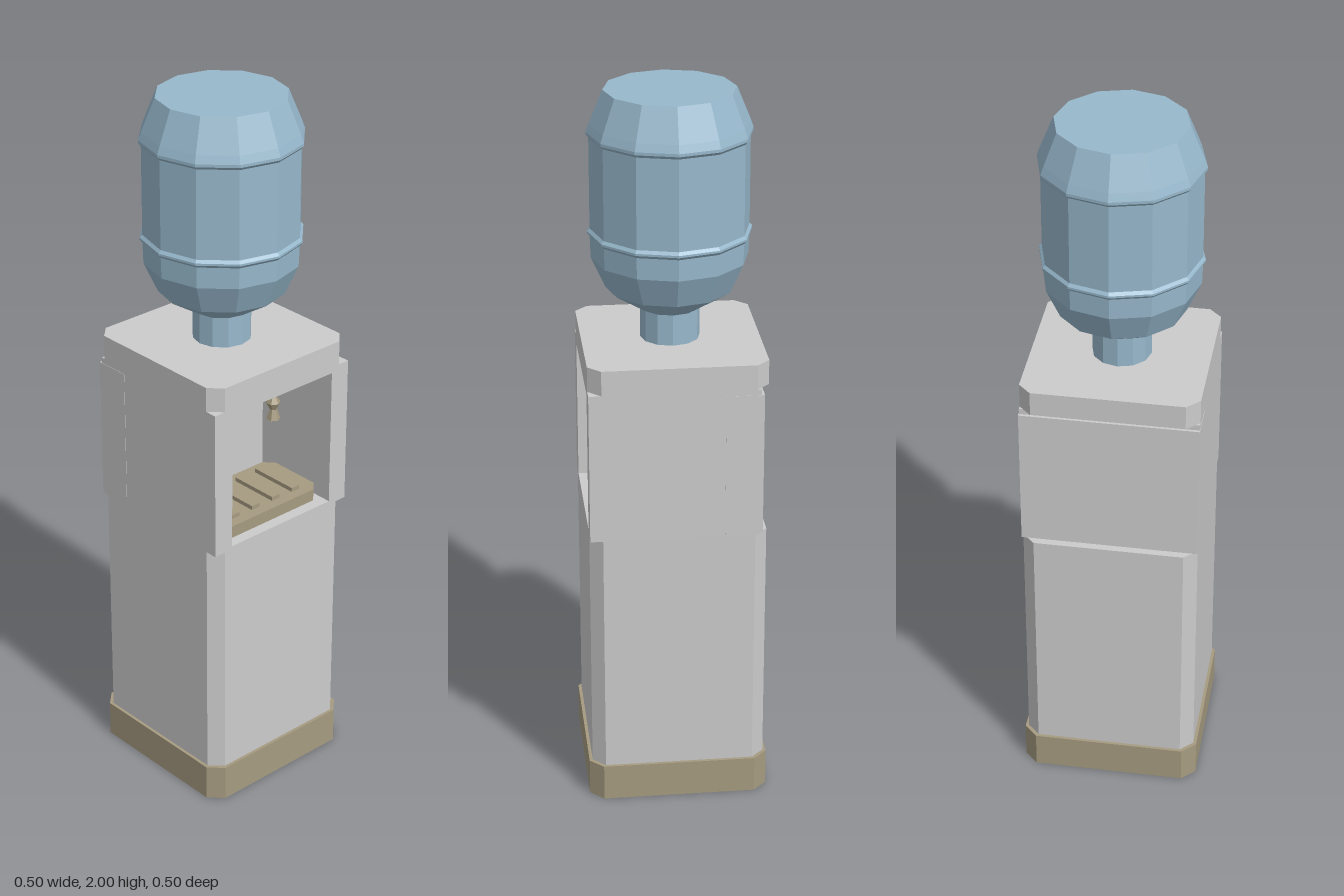
import * as THREE from 'three';

const mat = (color) => new THREE.MeshStandardMaterial({ color, flatShading: true });

// rectangle with chamfered corners, half sizes w and d
function chamferedRect(w, d, c) {
  return new THREE.Shape([
    [w, -d + c], [w, d - c], [w - c, d], [-w + c, d],
    [-w, d - c], [-w, -d + c], [-w + c, -d], [w - c, -d],
  ].map(([x, y]) => new THREE.Vector2(x, y)));
}

export function createModel() {
  const group = new THREE.Group();
  const grey = mat(0xcccccc);
  const tan = mat(0xa69b80);
  const blue = mat(0x97b8cc);
  const dark = mat(0x26262a);

  const add = (name, geometry, material, x = 0, y = 0, z = 0) => {
    const mesh = new THREE.Mesh(geometry, material);
    mesh.name = name;
    mesh.position.set(x, y, z);
    group.add(mesh);
    return mesh;
  };
  // box given by its limits
  const box = (name, material, x0, x1, y0, y1, z0, z1) =>
    add(name, new THREE.BoxGeometry(x1 - x0, y1 - y0, z1 - z0), material,
      (x0 + x1) / 2, (y0 + y1) / 2, (z0 + z1) / 2);
  // upright chamfered block between two heights
  const prism = (name, material, w, d, c, y0, y1, z = 0) => {
    const g = new THREE.ExtrudeGeometry(chamferedRect(w, d, c), { depth: y1 - y0, bevelEnabled: false });
    g.rotateX(-Math.PI / 2);
    return add(name, g, material, 0, y0, z);
  };

  // plinth, lower cabinet and top cover
  prism('plinth', tan, 0.252, 0.252, 0.038, 0, 0.105);
  prism('lowerCabinet', grey, 0.243, 0.243, 0.035, 0.105, 0.81);
  prism('topCover', grey, 0.243, 0.243, 0.035, 1.238, 1.308);

  // square-cornered dispensing section with an open niche in front
  const frame = new THREE.Shape([
    new THREE.Vector2(-0.243, 0.81), new THREE.Vector2(0.243, 0.81),
    new THREE.Vector2(0.243, 1.238), new THREE.Vector2(-0.243, 1.238),
  ]);
  frame.holes.push(new THREE.Path([
    new THREE.Vector2(-0.182, 0.82), new THREE.Vector2(-0.182, 1.22),
    new THREE.Vector2(0.182, 1.22), new THREE.Vector2(0.182, 0.82),
  ]));
  add('nicheFrame', new THREE.ExtrudeGeometry(frame, { depth: 0.273, bevelEnabled: false }), grey, 0, 0, -0.03);
  box('nicheBack', grey, -0.243, 0.243, 0.81, 1.238, -0.22, -0.03);
  box('rearPanel', grey, -0.244, 0.244, 0.815, 1.222, -0.228, -0.125);

  // drip tray with slats running front to back
  prism('dripTray', tan, 0.18, 0.105, 0.027, 0.82, 0.855, 0.105);
  for (let i = 0; i < 4; i++) {
    const x = (i - 1.5) * 0.075;
    box('traySlat', tan, x - 0.014, x + 0.014, 0.855, 0.867, 0.03, 0.18);
  }

  // taps: a feed pipe from the niche wall, a waisted spout and an indicator
  const spout = [[0, 1.055], [0.02, 1.055], [0.01, 1.085], [0.02, 1.105], [0.008, 1.125], [0, 1.125]]
    .map(([r, y]) => new THREE.Vector2(r, y));
  for (const x of [-0.1, 0.1]) {
    add('tapSpout', new THREE.LatheGeometry(spout, 6), tan, x, 0, 0.1);
    const pipe = add('tapPipe', new THREE.CylinderGeometry(0.009, 0.009, 0.13, 6), tan, x, 1.103, 0.035);
    pipe.rotation.x = Math.PI / 2;
    box('indicator', dark, x - 0.011, x + 0.011, 1.145, 1.165, -0.03, -0.02);
  }

  // upturned bottle with two hoops
  const bottle = [
    [0, 1.3], [0.081, 1.3], [0.081, 1.395], [0.175, 1.455], [0.213, 1.54],
    [0.215, 1.6], [0.222, 1.608], [0.222, 1.614], [0.215, 1.622],
    [0.215, 1.872], [0.222, 1.88], [0.222, 1.888], [0.214, 1.91],
    [0.177, 2], [0, 2],
  ].map(([r, y]) => new THREE.Vector2(r, y));
  add('bottle', new THREE.LatheGeometry(bottle, 12), blue);

  return group;
}
